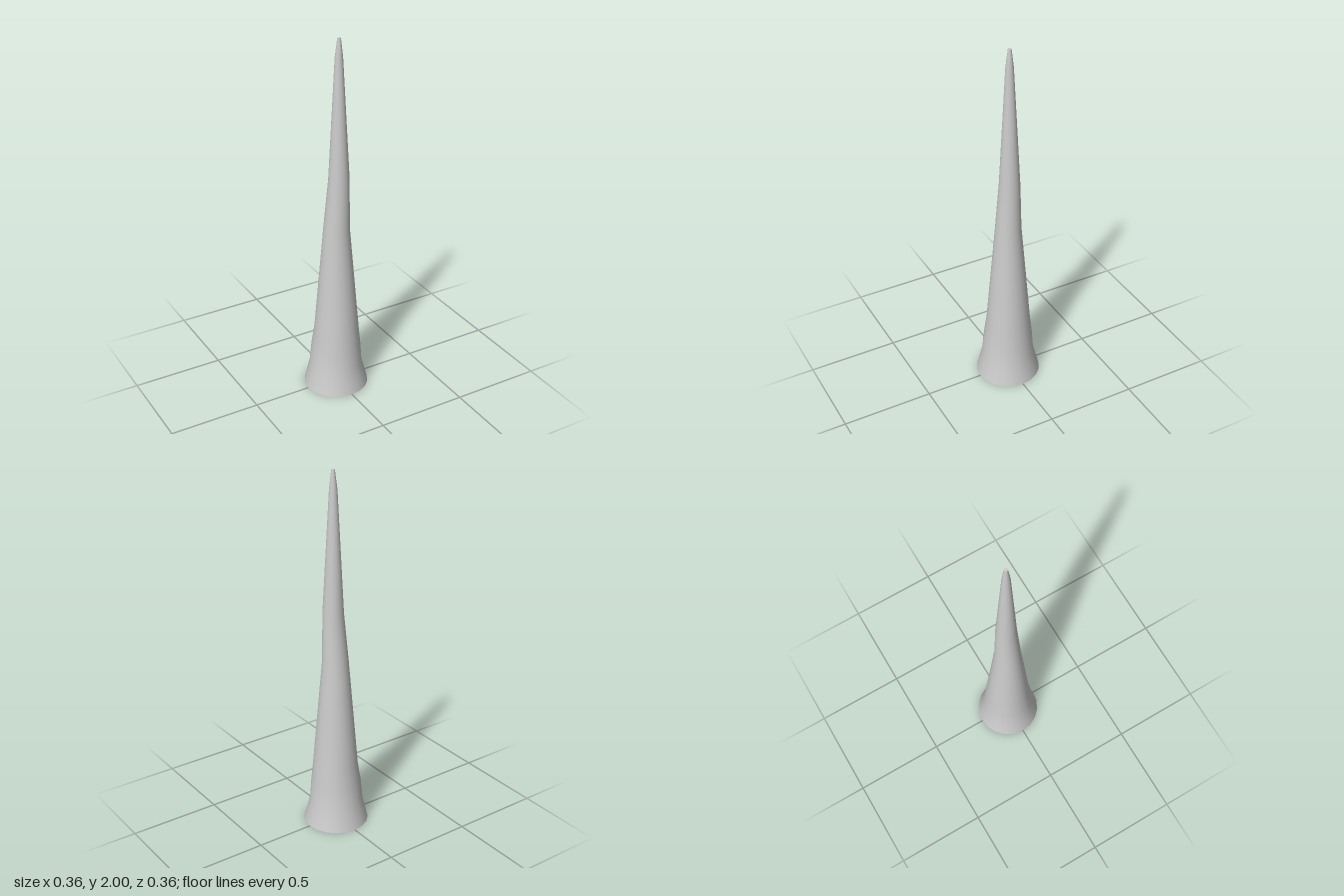
import * as THREE from 'three';

const SIDES = 20;

// Rings from base to tip: height, radius, sideways shift of the centre
const RINGS = [
  [0, 0.178, 0],
  [0.13, 0.146, -0.002],
  [0.24, 0.137, 0],
  [0.35, 0.123, 0.004],
  [0.97, 0.07, 0.004],
  [1.24, 0.056, 0.018],
  [1.9, 0.021, 0.017],
  [2, 0.009, 0.018],
];

export function createModel() {
  const group = new THREE.Group();
  group.name = 'spike';
  const material = new THREE.MeshStandardMaterial({ color: 0xcccccc });

  // Tapering shaft, each ring shifted to give the slight bend
  const profile = RINGS.map(([y, r]) => new THREE.Vector2(r, y));
  const shaftGeometry = new THREE.LatheGeometry(profile, SIDES);
  const position = shaftGeometry.attributes.position;
  for (let i = 0; i < position.count; i++) {
    position.setX(i, position.getX(i) + RINGS[i % RINGS.length][2]);
  }
  const shaft = new THREE.Mesh(shaftGeometry, material);
  shaft.name = 'shaft';
  group.add(shaft);

  // Flat discs closing both ends
  const addCap = (name, [y, r, x], tilt) => {
    const cap = new THREE.Mesh(new THREE.CircleGeometry(r, SIDES), material);
    cap.name = name;
    cap.rotation.x = tilt;
    cap.position.set(x, y, 0);
    group.add(cap);
  };
  addCap('base', RINGS[0], Math.PI / 2);
  addCap('tip', RINGS[RINGS.length - 1], -Math.PI / 2);

  return group;
}
